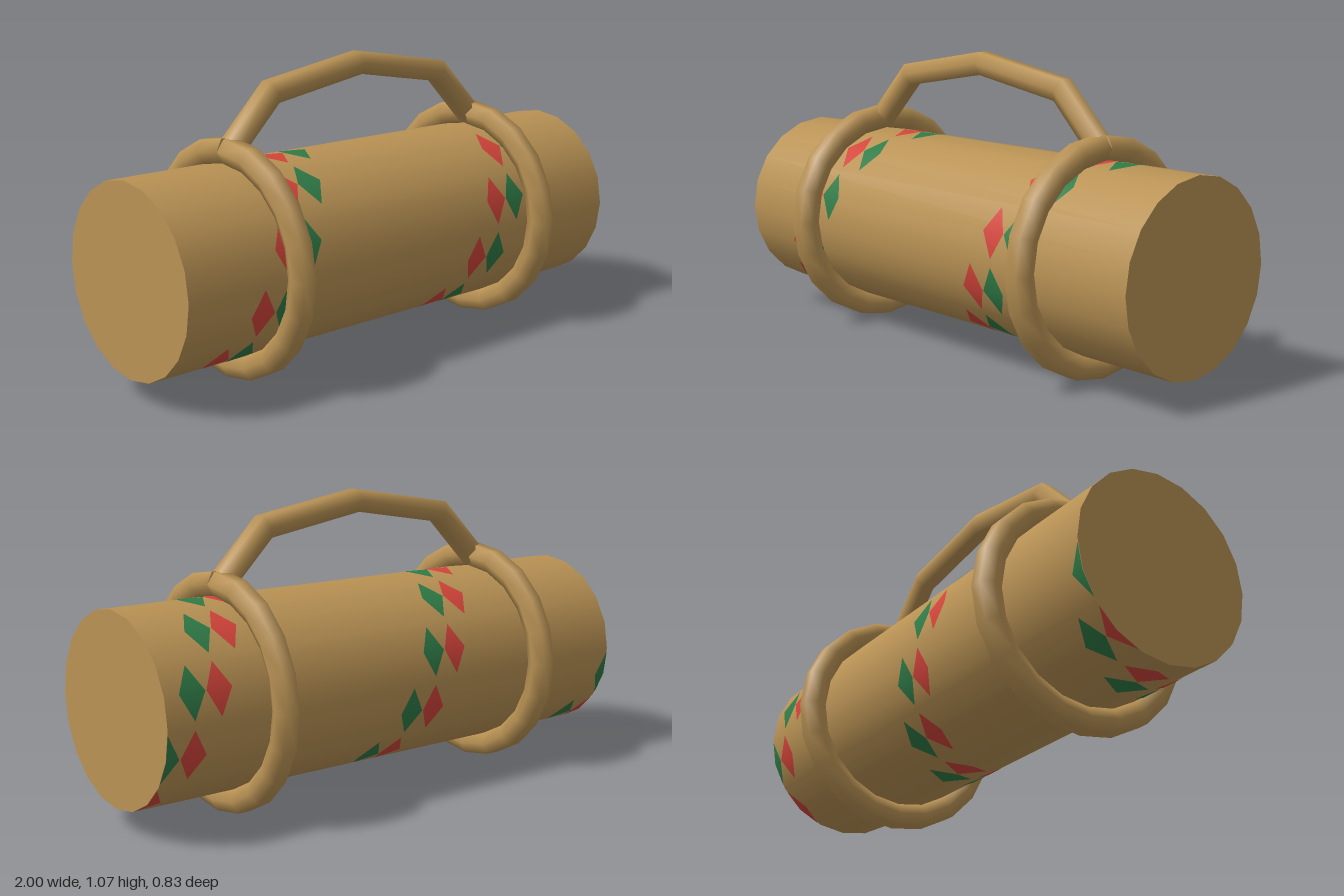
import * as THREE from 'three';

const RADIUS = 0.332, CENTER_Y = 0.419, SIDES = 20, STEP = (Math.PI * 2) / SIDES;

function material(name, color) {
  const m = new THREE.MeshStandardMaterial({ color });
  m.name = name;
  return m;
}

// Hexagonal rod swept along a flat path, mitred at the bends, square at the ends
function rod(path, binormal, radius) {
  const n = path.length, pos = [], index = [];
  const dir = path.slice(1).map((p, i) => p.clone().sub(path[i]).normalize());
  for (let i = 0; i < n; i++) {
    const a = dir[Math.max(i - 1, 0)], b = dir[Math.min(i, n - 2)];
    const tangent = a.clone().add(b).normalize();
    const normal = new THREE.Vector3().crossVectors(tangent, binormal).divideScalar(tangent.dot(b));
    for (let j = 0; j < 6; j++) {
      const t = (j * Math.PI) / 3;
      const p = path[i].clone()
        .addScaledVector(binormal, radius * Math.cos(t))
        .addScaledVector(normal, radius * Math.sin(t));
      pos.push(p.x, p.y, p.z);
    }
  }
  for (let i = 0; i < n - 1; i++) {
    for (let j = 0; j < 6; j++) {
      const a = i * 6 + j, b = i * 6 + ((j + 1) % 6);
      index.push(a, b, a + 6, b, b + 6, a + 6);
    }
  }
  // End caps with their own vertices
  const start = n * 6;
  pos.push(...pos.slice(0, 18), ...pos.slice((n - 1) * 18, n * 18));
  for (let j = 1; j < 5; j++) {
    index.push(start, start + j + 1, start + j);
    index.push(start + 6, start + 6 + j, start + 7 + j);
  }
  const g = new THREE.BufferGeometry();
  g.setAttribute('position', new THREE.Float32BufferAttribute(pos, 3));
  g.setIndex(index);
  g.computeVertexNormals();
  return g;
}

// Row of diamonds winding round the barrel, each folded over one ridge
function diamondSpiral(shift) {
  const pos = [], nor = [], index = [];
  const r = RADIUS + 0.002, reach = 0.86;
  // Corner a fraction f of the way from a ridge to the next one
  const corner = (x, angle, f) => {
    const next = angle + STEP * Math.sign(f), k = Math.abs(f);
    const y = THREE.MathUtils.lerp(Math.sin(angle), Math.sin(next), k);
    const z = THREE.MathUtils.lerp(Math.cos(angle), Math.cos(next), k);
    const len = Math.hypot(y, z);
    pos.push(THREE.MathUtils.clamp(x, -1, 1), CENTER_Y + r * y, r * z);
    nor.push(0, y / len, z / len);
  };
  for (let k = -7; k <= 14; k++) {
    const x = -0.4 + 0.1 * k + shift, angle = Math.PI / 2 + 2 * STEP * k;
    if (Math.abs(x) > 1.01) continue;
    const v = pos.length / 3;
    corner(x - 0.048, angle, 0);
    corner(x + 0.048, angle, 0);
    corner(x, angle, reach);
    corner(x, angle, -reach);
    index.push(v, v + 1, v + 2, v + 1, v, v + 3);
  }
  const g = new THREE.BufferGeometry();
  g.setAttribute('position', new THREE.Float32BufferAttribute(pos, 3));
  g.setAttribute('normal', new THREE.Float32BufferAttribute(nor, 3));
  g.setIndex(index);
  return g;
}

export function createModel() {
  const group = new THREE.Group();
  const tan = material('tan', 0xb99254);
  const red = material('red', 0xd3443a);
  const green = material('green', 0x2f7b47);
  const add = (name, geometry, mat) => {
    const mesh = new THREE.Mesh(geometry, mat);
    mesh.name = name;
    group.add(mesh);
  };

  // Barrel lying along x
  const barrel = new THREE.CylinderGeometry(RADIUS, RADIUS, 2, SIDES);
  barrel.rotateZ(Math.PI / 2).translate(0, CENTER_Y, 0);
  add('barrel', barrel, tan);

  // Painted diamonds
  add('redDiamonds', diamondSpiral(0), red);
  add('greenDiamonds', diamondSpiral(0.1), green);

  // Rings round the barrel, with the seam at the top
  for (const side of [-1, 1]) {
    const path = [];
    for (let i = 0; i <= SIDES; i++) {
      const t = Math.PI / 2 + i * STEP;
      path.push(new THREE.Vector3(side * 0.585, CENTER_Y + 0.374 * Math.sin(t), 0.374 * Math.cos(t)));
    }
    add(side > 0 ? 'leftRing' : 'rightRing', rod(path, new THREE.Vector3(1, 0, 0), 0.048), tan);
  }

  // Arched carrying handle
  const arch = [[-0.585, 0.785], [-0.4, 0.97], [0, 1.036], [0.4, 0.97], [0.585, 0.785]];
  add('handle', rod(arch.map(([x, y]) => new THREE.Vector3(x, y, 0)), new THREE.Vector3(0, 0, 1), 0.046), tan);

  return group;
}
